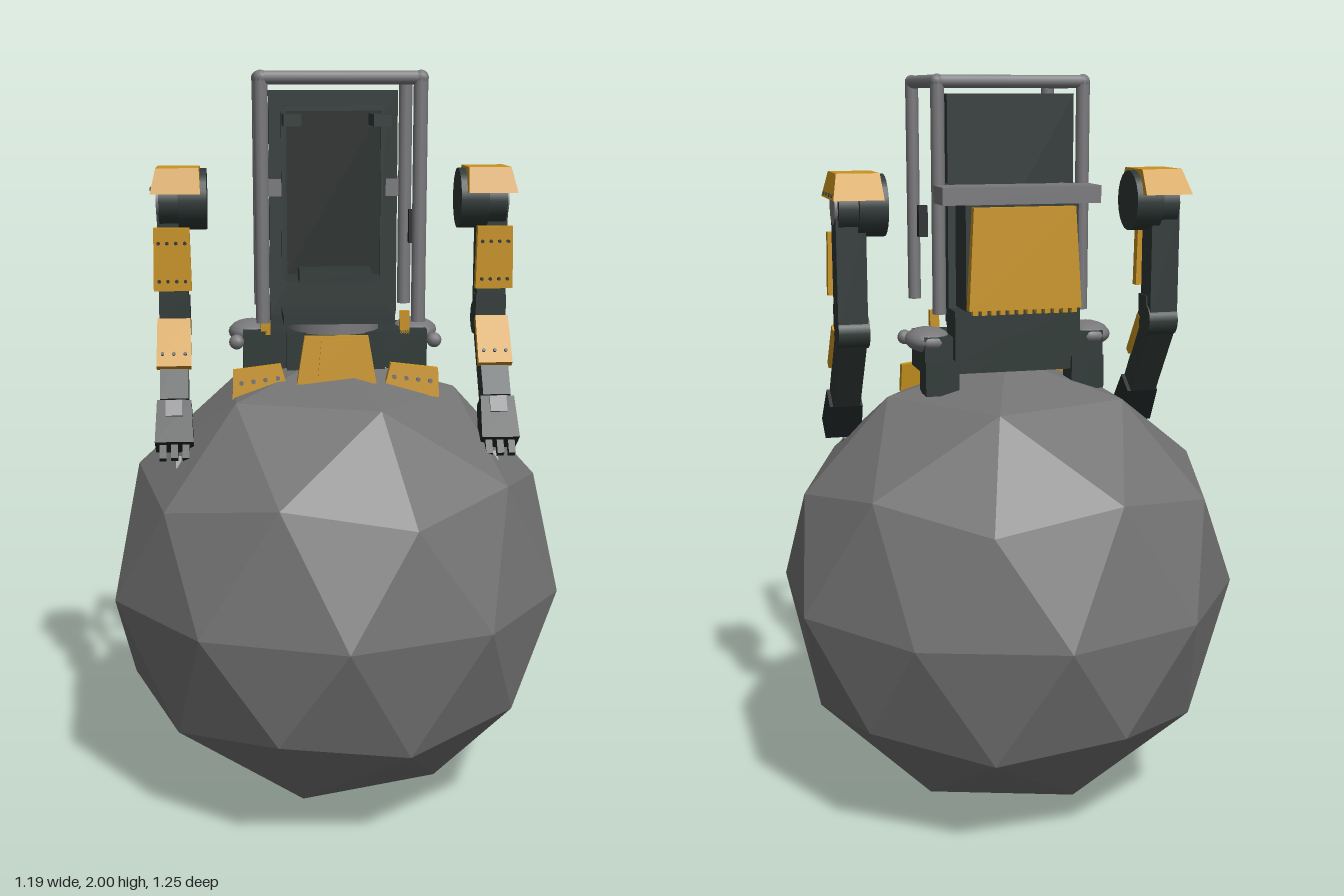
import * as THREE from 'three';

const paint = (name, color) => {
  const m = new THREE.MeshStandardMaterial({ color });
  m.name = name;
  return m;
};

export function createModel() {
  const rock = paint('rock grey', 0x737374);
  const steel = paint('steel grey', 0x79797c);
  const dark = paint('dark green grey', 0x2e3836);
  const yellow = paint('machine yellow', 0xc8921f);
  const black = paint('rubber black', 0x222827);

  const model = new THREE.Group();
  model.name = 'ballWalker';

  const add = (name, geo, mat, [x, y, z], parent = model) => {
    const m = new THREE.Mesh(geo, mat);
    m.name = name;
    m.position.set(x, y, z);
    parent.add(m);
    return m;
  };
  // box whose top face may be scaled and shifted
  const box = (name, mat, [w, h, d], pos, parent, sx = 1, sz = 1, dx = 0, dz = 0) => {
    let g = new THREE.BoxGeometry(w, h, d);
    const p = g.attributes.position;
    for (let i = 0; i < p.count; i++) {
      if (p.getY(i) > 0) p.setXYZ(i, p.getX(i) * sx + dx, p.getY(i), p.getZ(i) * sz + dz);
    }
    g = g.toNonIndexed();
    g.computeVertexNormals();
    return add(name, g, mat, pos, parent);
  };
  const cyl = (name, mat, r, len, pos, axis = 'y', parent = model, sides = 16) => {
    const g = new THREE.CylinderGeometry(r, r, len, sides);
    if (axis === 'x') g.rotateZ(Math.PI / 2);
    if (axis === 'z') g.rotateX(Math.PI / 2);
    return add(name, g, mat, pos, parent);
  };

  // faceted ball with a corner at each pole
  const ball = new THREE.IcosahedronGeometry(0.627, 1);
  ball.rotateX(-Math.atan((1 + Math.sqrt(5)) / 2));
  ball.rotateY(Math.PI / 2);
  ball.computeVertexNormals();
  add('ball', ball, rock, [0, 0.627, 0]);

  // roll cage
  const cage = new THREE.Group();
  cage.name = 'rollCage';
  model.add(cage);
  const cx = 0.195, zf = 0.277, zb = -0.045, top = 1.981;
  for (const s of [-1, 1]) {
    for (const z of [zf, zb]) {
      cyl('cagePost', steel, 0.018, top - 1.385, [s * cx, (top + 1.385) / 2, z], 'y', cage, 10);
      add('cageJoint', new THREE.SphereGeometry(0.019, 10, 8), steel, [s * cx, top, z], cage);
    }
    cyl('cageSideBar', steel, 0.017, zf - zb, [s * cx, top, (zf + zb) / 2], 'z', cage, 10);
  }
  for (const z of [zf, zb]) cyl('cageCrossBar', steel, 0.017, cx * 2, [0, top, z], 'x', cage, 10);

  // cockpit back panel with raised frame and brackets
  box('backPanel', dark, [0.34, 0.59, 0.04], [0, 1.655, -0.025]);
  box('panelInset', black, [0.25, 0.43, 0.008], [0, 1.685, 0]);
  for (const s of [-1, 1]) {
    box('panelFrameSide', dark, [0.014, 0.45, 0.02], [s * 0.131, 1.685, 0.003]);
    box('headArm', dark, [0.045, 0.03, 0.16], [s * 0.114, 1.877, 0.087]);
    box('panelClip', steel, [0.04, 0.045, 0.05], [s * 0.152, 1.7, -0.02]);
    box('controlGrip', black, [0.025, 0.085, 0.025], [s * 0.195, 1.612, 0.157]);
  }
  for (const y of [1.46, 1.905]) box('panelFrameBar', dark, [0.26, 0.014, 0.02], [0, y, 0.003]);
  box('lapPlate', dark, [0.19, 0.035, 0.08], [0, 1.475, 0.05]);
  box('floorPlate', dark, [0.28, 0.022, 0.19], [0, 1.374, 0.085]);

  // engine pack
  box('enginePack', dark, [0.3, 0.31, 0.12], [0, 1.56, -0.1]);
  box('packShelf', steel, [0.42, 0.045, 0.12], [0, 1.698, -0.102]);
  box('packCover', yellow, [0.3, 0.26, 0.032], [0, 1.54, -0.178], model, 0.9, 0.75, 0, 0.004);
  for (let i = 0; i < 12; i++) {
    box('coverTooth', yellow, [0.014, 0.015, 0.02], [-0.132 + i * 0.024, 1.405, -0.178]);
  }
  box('lowerBack', dark, [0.34, 0.13, 0.1], [0, 1.335, -0.07]);

  // turntable and pelvis
  cyl('turntable', steel, 0.12, 0.035, [0, 1.345, 0.02], 'y', model, 24);
  box('pelvis', dark, [0.26, 0.1, 0.2], [0, 1.28, 0.01]);
  box('frontSkirt', yellow, [0.21, 0.125, 0.03], [0, 1.26, 0.125], model, 0.8, 1, 0, -0.012);
  box('skirtRib', yellow, [0.1, 0.1, 0.012], [0, 1.265, 0.138], model, 0.8, 1, 0, -0.01);

  for (const s of [-1, 1]) {
    // hip
    const hip = new THREE.Group();
    hip.name = s > 0 ? 'leftHip' : 'rightHip';
    model.add(hip);
    box('hipBlock', dark, [0.14, 0.1, 0.17], [s * 0.175, 1.28, -0.005], hip);
    const dome = new THREE.SphereGeometry(0.068, 14, 10);
    dome.scale(0.9, 0.5, 1.15);
    add('hipDome', dome, steel, [s * 0.222, 1.315, -0.02], hip);
    box('hipFoot', dark, [0.09, 0.09, 0.08], [s * 0.2, 1.22, -0.06], hip);
    const skirt = box('sideSkirt', yellow, [0.15, 0.075, 0.025], [s * 0.205, 1.2, 0.105], hip, 0.85, 1, 0, -0.01);
    skirt.rotation.z = -s * 0.12;
    for (let i = 0; i < 4; i++) {
      cyl('skirtBolt', steel, 0.006, 0.01, [s * (0.155 + i * 0.032), 1.21 - i * 0.004, 0.117], 'z', hip, 6);
    }
    add('hipBall', new THREE.SphereGeometry(0.02, 10, 8), steel, [s * 0.262, 1.305, 0.095], hip);
    box('hipStrut', yellow, [0.025, 0.06, 0.02], [s * 0.185, 1.35, 0.07], hip);

    // upper arm
    const arm = new THREE.Group();
    arm.name = s > 0 ? 'leftArm' : 'rightArm';
    model.add(arm);
    cyl('shoulderDrum', dark, 0.08, 0.075, [s * 0.372, 1.67, -0.02], 'x', arm, 20);
    cyl('shoulderHub', dark, 0.065, 0.06, [s * 0.43, 1.665, -0.02], 'x', arm, 20);
    cyl('shoulderDisc', steel, 0.043, 0.008, [s * 0.464, 1.665, -0.02], 'x', arm, 16);
    box('shoulderCap', yellow, [0.13, 0.065, 0.208], [s * 0.415, 1.722, -0.02], arm, 0.86, 0.65, -s * 0.006, 0.01);
    for (let i = 0; i < 4; i++) {
      cyl('capBolt', dark, 0.005, 0.008, [s * 0.477, 1.7, -0.09 + i * 0.045], 'x', arm, 6);
    }
    box('upperArm', dark, [0.078, 0.28, 0.075], [s * 0.428, 1.5, -0.028], arm);
    box('upperArmPlate', yellow, [0.1, 0.165, 0.026], [s * 0.428, 1.517, 0.036], arm, 0.94);
    box('plateMount', steel, [0.03, 0.05, 0.04], [s * 0.428, 1.52, 0.015], arm);
    for (const y of [1.46, 1.56]) for (let i = 0; i < 4; i++) {
      cyl('plateBolt', dark, 0.005, 0.008, [s * (0.394 + i * 0.023), y, 0.05], 'z', arm, 6);
    }
    cyl('elbow', dark, 0.044, 0.082, [s * 0.426, 1.345, -0.03], 'x', arm, 14);
    box('elbowGuard', dark, [0.082, 0.075, 0.06], [s * 0.426, 1.375, -0.012], arm);

    // forearm and hand, hanging forward
    const fore = new THREE.Group();
    fore.name = 'forearm';
    fore.position.set(s * 0.428, 1.34, -0.03);
    fore.rotation.x = -0.61;
    arm.add(fore);
    box('forearmCore', dark, [0.074, 0.24, 0.07], [0, -0.12, 0], fore);
    box('forearmPlate', yellow, [0.092, 0.14, 0.022], [0, -0.085, 0.042], fore, 0.96);
    for (let i = 0; i < 3; i++) {
      cyl('forearmBolt', dark, 0.005, 0.008, [-0.03 + i * 0.03, -0.12, 0.054], 'z', fore, 6);
    }
    box('wrist', dark, [0.06, 0.05, 0.055], [0, -0.235, 0], fore);
    box('hand', black, [0.1, 0.12, 0.075], [0, -0.305, 0.004], fore, 0.9, 0.9);
    box('handPlate', steel, [0.045, 0.045, 0.01], [0, -0.27, 0.04], fore);
    for (let i = 0; i < 3; i++) {
      box('finger', black, [0.018, 0.045, 0.022], [-0.03 + i * 0.03, -0.38, 0.012], fore);
    }
    box('thumb', steel, [0.014, 0.035, 0.014], [-s * 0.01, -0.402, -0.015], fore);
  }
  return model;
}
